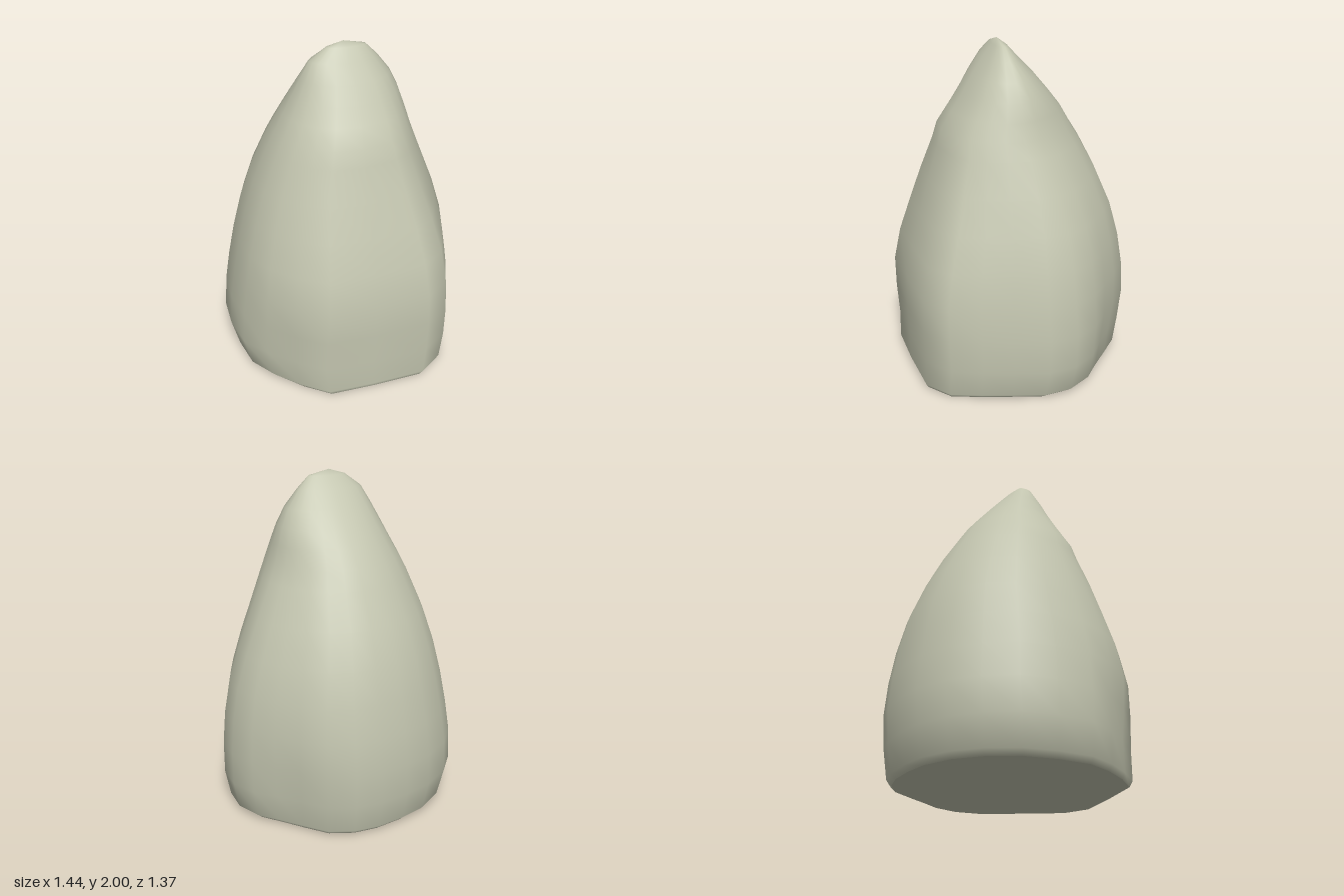
import * as THREE from 'three';

// Plan outline (x, z), walked from the back round by +x
const outline = [
  [0, -.69], [.16, -.685], [.32, -.635], [.45, -.52], [.56, -.4], [.66, -.285], [.725, -.13], [.725, .04],
  [.65, .23], [.58, .4], [.5, .57], [.34, .675], [0, .68], [-.3, .68], [-.47, .57], [-.61, .42],
  [-.7, .25], [-.725, .04], [-.715, -.16], [-.64, -.35], [-.52, -.5], [-.35, -.61], [-.18, -.66],
];

// Extents of each level: y, xMin, xMax, zMin, zMax
const levels = [
  [0, -.64, .65, -.62, .665], [.03, -.68, .685, -.65, .68], [.2, -.725, .72, -.675, .68],
  [.4, -.71, .72, -.685, .685], [.6, -.68, .7, -.665, .68], [.8, -.64, .665, -.63, .64],
  [1, -.59, .605, -.58, .58], [1.2, -.53, .53, -.5, .52], [1.4, -.45, .455, -.4, .455],
  [1.5, -.405, .41, -.34, .43], [1.6, -.35, .375, -.28, .37], [1.7, -.3, .335, -.2, .305],
  [1.8, -.25, .28, -.115, .245], [1.9, -.195, .2, -.02, .17], [1.97, -.1, .13, .045, .12],
];

// Shallow hollows: x, y, z, radius, depth
const hollows = [[-.5, .2, .52, .28, .05], [.5, .2, -.48, .28, .04], [.36, 1.42, -.1, .25, .03]];

function ring([y, x0, x1, z0, z1]) {
  const round = THREE.MathUtils.smoothstep(y, .7, 1.8);
  return outline.map(([px, pz]) => {
    const u = px / .725, v = pz / .685, len = Math.hypot(u, v);
    const k = THREE.MathUtils.lerp(1, 1 / len, round);
    const p = new THREE.Vector3((x0 + x1) / 2 + u * k * (x1 - x0) / 2, y, (z0 + z1) / 2 + v * k * (z1 - z0) / 2);
    for (const [hx, hy, hz, r, depth] of hollows) {
      const d2 = (p.x - hx) ** 2 + (y - hy) ** 2 + (p.z - hz) ** 2;
      const push = depth * Math.exp(-d2 / (r * r));
      p.x -= push * u / len;
      p.z -= push * v / len;
    }
    return p;
  });
}

function surface(points, index) {
  const geometry = new THREE.BufferGeometry().setFromPoints(points);
  geometry.setIndex(index);
  geometry.computeVertexNormals();
  return geometry;
}

export function createModel() {
  const model = new THREE.Group();
  model.name = 'boulder';
  const stone = new THREE.MeshStandardMaterial({ color: 0xc4c6b0 });
  stone.name = 'pale stone';
  const n = outline.length;
  const rings = levels.map(ring);

  // Rock sides, closed by the off-centre peak
  const points = [...rings.flat(), new THREE.Vector3(0, 2, .085)];
  const index = [];
  for (let r = 0; r < rings.length; r++) {
    for (let i = 0; i < n; i++) {
      const a = r * n + i, b = r * n + (i + 1) % n;
      if (r === rings.length - 1) index.push(a, points.length - 1, b);
      else index.push(a, a + n, b + n, a, b + n, b);
    }
  }
  const body = new THREE.Mesh(surface(points, index), stone);
  body.name = 'rockBody';

  // Flat underside
  const baseIndex = [];
  for (let i = 0; i < n; i++) baseIndex.push(n, i, (i + 1) % n);
  const base = new THREE.Mesh(surface([...rings[0], new THREE.Vector3()], baseIndex), stone);
  base.name = 'rockBase';

  model.add(body, base);
  return model;
}
